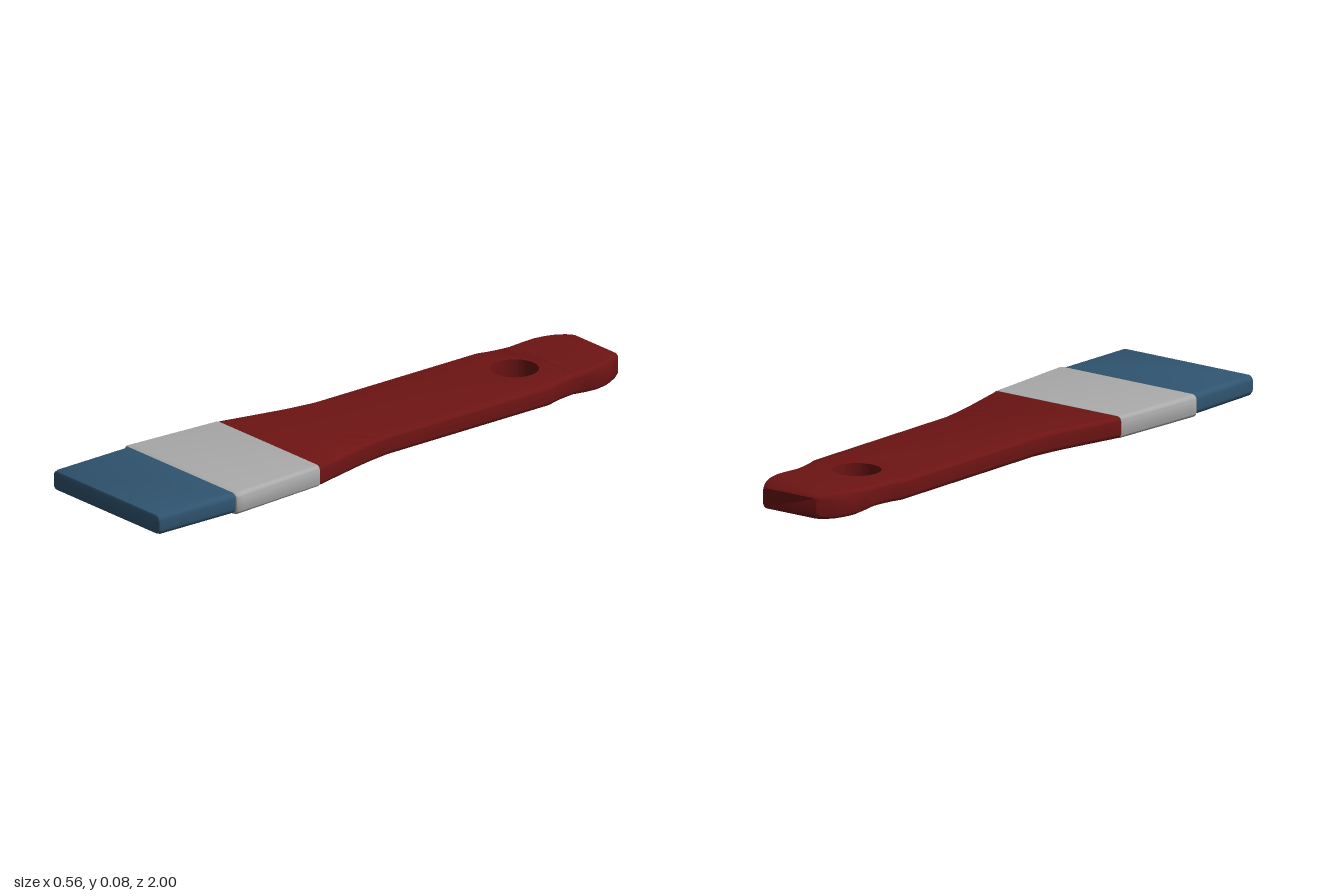
import * as THREE from 'three';
import { toCreasedNormals } from 'three/addons/utils/BufferGeometryUtils.js';

// Rounded-rectangle loop, counter-clockwise seen from +z
function section([z, hw, y0, y1, r]) {
  const pts = [], steps = 5, cy = (y0 + y1) / 2, hh = (y1 - y0) / 2;
  const corners = [[1, -1], [1, 1], [-1, 1], [-1, -1]];
  corners.forEach(([sx, sy], q) => {
    for (let i = 0; i <= steps; i++) {
      const a = (q - 1 + i / steps) * Math.PI / 2;
      pts.push([sx * (hw - r) + r * Math.cos(a), cy + sy * (hh - r) + r * Math.sin(a), z]);
    }
  });
  return pts;
}

// Capped loft through sections [z, halfWidth, bottom, top, cornerRadius], ordered by rising z
function loft(rows) {
  const loops = rows.map(section), n = loops[0].length;
  const pos = loops.flat(2), idx = [];
  for (let i = 0; i < loops.length - 1; i++) {
    for (let k = 0; k < n; k++) {
      const a = i * n + k, b = i * n + (k + 1) % n;
      idx.push(a, b, b + n, a, b + n, a + n);
    }
  }
  const last = (loops.length - 1) * n;
  for (let k = 1; k < n - 1; k++) {
    idx.push(0, k + 1, k);
    idx.push(last, last + k, last + k + 1);
  }
  const g = new THREE.BufferGeometry();
  g.setAttribute('position', new THREE.Float32BufferAttribute(pos, 3));
  g.setIndex(idx);
  return toCreasedNormals(g, 0.7);
}

// Flat grip with flared neck and hanging hole
function gripGeometry() {
  const side = [
    ...new THREE.SplineCurve([[0.162, -0.82], [0.163, -0.77], [0.171, -0.71], [0.185, -0.66]]
      .map(p => new THREE.Vector2(...p))).getPoints(10),
    ...new THREE.SplineCurve([[0.185, 0], [0.2, 0.1], [0.222, 0.2], [0.252, 0.33], [0.256, 0.36]]
      .map(p => new THREE.Vector2(...p))).getPoints(14),
  ];
  const mirrored = side.map(p => new THREE.Vector2(-p.x, p.y)).reverse();
  const shape = new THREE.Shape([...side, ...mirrored]);
  const holeZ = -0.665, holeR = 0.077;
  shape.holes.push(new THREE.Path().absarc(0, holeZ, holeR, 0, Math.PI * 2, true));
  const g = new THREE.ExtrudeGeometry(shape, {
    depth: 0.04, bevelThickness: 0.015, bevelSize: 0.015, bevelOffset: -0.015,
    bevelSegments: 4, curveSegments: 32,
  });
  // Keep the hole wall straight, without a bevel
  const p = g.attributes.position;
  for (let i = 0; i < p.count; i++) {
    const dx = p.getX(i), dy = p.getY(i) - holeZ, d = Math.hypot(dx, dy);
    if (d < 0.1) p.setXY(i, dx / d * holeR, holeZ + dy / d * holeR);
  }
  g.rotateX(Math.PI / 2).translate(0, 0.065, 0);
  return toCreasedNormals(g, 0.7);
}

export function createModel() {
  const group = new THREE.Group();
  const red = new THREE.MeshStandardMaterial({ color: 0x6e1414 });
  const grey = new THREE.MeshStandardMaterial({ color: 0xaaaaaa });
  const blue = new THREE.MeshStandardMaterial({ color: 0x305470 });
  const add = (name, geometry, material) => {
    const m = new THREE.Mesh(geometry, material);
    m.name = name;
    group.add(m);
  };

  add('handleGrip', gripGeometry(), red);

  // Slightly thicker rounded end of the handle
  add('handleTail', loft([
    [-1, 0.105, 0.013, 0.074, 0.012],
    [-0.993, 0.113, 0.007, 0.08, 0.015],
    [-0.97, 0.127, 0.003, 0.084, 0.015],
    [-0.94, 0.143, 0.002, 0.085, 0.015],
    [-0.91, 0.154, 0.002, 0.085, 0.015],
    [-0.87, 0.161, 0.002, 0.085, 0.015],
    [-0.83, 0.163, 0.005, 0.083, 0.015],
    [-0.78, 0.163, 0.0095, 0.0805, 0.015],
  ]), red);

  // Tapered metal band
  add('ferrule', loft([
    [0.34, 0.256, 0.009, 0.081, 0.016],
    [0.67, 0.278, 0.008, 0.082, 0.02],
    [0.688, 0.279, 0.008, 0.082, 0.02],
    [0.695, 0.274, 0.01, 0.08, 0.018],
  ]), grey);

  // Block of bristles with softened tip
  add('bristles', loft([
    [0.66, 0.27, 0.011, 0.08, 0.02],
    [0.72, 0.268, 0.011, 0.08, 0.02],
    [0.985, 0.262, 0.011, 0.08, 0.02],
    [0.996, 0.258, 0.015, 0.076, 0.016],
    [1, 0.25, 0.022, 0.069, 0.01],
  ]), blue);

  return group;
}
